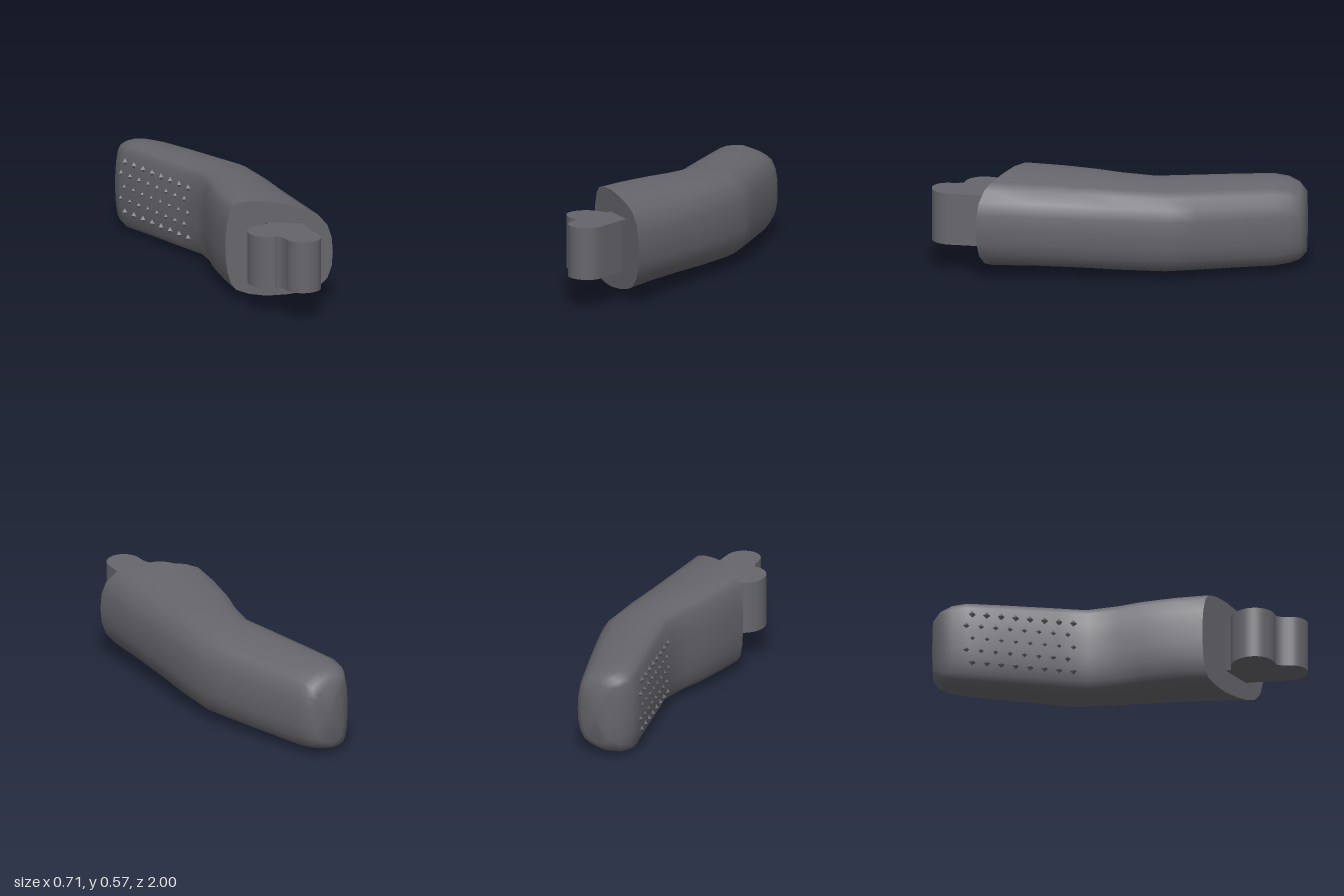
import * as THREE from 'three';

// Half outline of the body section, normalised: u across (0 = flat grip side), v up
const HALF = [
  [1, 0.5], [0.99, 0.65], [0.95, 0.78], [0.86, 0.885], [0.74, 0.935], [0.57, 0.975],
  [0.38, 1], [0.22, 0.99], [0.1, 0.955], [0.05, 0.89], [0.015, 0.76], [0, 0.6],
];
const RING = [...HALF, ...HALF.slice(1).reverse().map(([u, v]) => [u, 1 - v])];

// Sections from front to back: left x, left z, right x, right z, bottom, top
const SECTIONS = [
  [-0.165, 0.465, 0.355, 0.73, 0.03, 0.568],
  [-0.168, 0.3, 0.327, 0.45, 0.03, 0.56],
  [-0.155, 0.12, 0.303, 0.2, 0.026, 0.55],
  [-0.13, 0, 0.287, -0.02, 0.022, 0.542],
  [-0.12, -0.16, 0.25, -0.31, 0.016, 0.531],
  [-0.18, -0.32, 0.19, -0.45, 0.012, 0.523],
  [-0.278, -0.6, 0.09, -0.67, 0.006, 0.511],
  [-0.345, -0.79, 0.005, -0.85, 0, 0.5],
  [-0.35, -0.87, -0.03, -0.925, 0.012, 0.485],
  [-0.325, -0.935, -0.06, -0.975, 0.035, 0.46],
  [-0.27, -0.985, -0.1, -0.997, 0.08, 0.42],
];

function ringPoints([lx, lz, rx, rz, y0, y1]) {
  return RING.map(([u, v]) => [lx + (rx - lx) * u, y0 + (y1 - y0) * v, lz + (rz - lz) * u]);
}

function makeGeometry(points, index) {
  const g = new THREE.BufferGeometry();
  g.setAttribute('position', new THREE.Float32BufferAttribute(points.flat(), 3));
  g.setIndex(index);
  g.computeVertexNormals();
  return g;
}

// Smooth skin through all sections, with a rounded back end
function bodyGeometry() {
  const n = RING.length;
  const points = SECTIONS.flatMap(ringPoints);
  const index = [];
  for (let i = 0; i < SECTIONS.length - 1; i++) {
    for (let j = 0; j < n; j++) {
      const k = (j + 1) % n;
      const a = i * n + j, b = i * n + k, c = a + n, d = b + n;
      index.push(a, c, b, b, c, d);
    }
  }
  const base = (SECTIONS.length - 1) * n;
  const centre = points.length;
  points.push([-0.185, 0.25, -1]);
  for (let j = 0; j < n; j++) index.push(centre, base + (j + 1) % n, base + j);
  return makeGeometry(points, index);
}

// Slanted flat front end
function frontGeometry() {
  const points = ringPoints(SECTIONS[0]);
  const n = points.length;
  const index = [];
  points.push([0.095, 0.3, 0.5975]);
  for (let j = 0; j < n; j++) index.push(n, j, (j + 1) % n);
  return makeGeometry(points, index);
}

// Two-lobed connector, outlined in x and z and extruded downward
function connectorGeometry() {
  const s = new THREE.Shape();
  s.moveTo(0.03, 0.5);
  s.lineTo(0.205, 0.5);
  s.lineTo(0.21, 0.72);
  s.lineTo(0.225, 0.9);
  s.absarc(0.13, 0.905, 0.095, 0, Math.PI, false);
  s.quadraticCurveTo(0.025, 0.85, 0, 0.838);
  s.absarc(0, 0.72, 0.12, Math.PI / 2, Math.PI * 1.5, false);
  s.lineTo(0.03, 0.595);
  const g = new THREE.ExtrudeGeometry(s, { depth: 0.288, bevelEnabled: false, curveSegments: 20 });
  g.rotateX(Math.PI / 2);
  g.translate(0, 0.455, 0);
  // Slight rise toward the tip
  const p = g.attributes.position;
  for (let i = 0; i < p.count; i++) p.setY(i, p.getY(i) + (p.getZ(i) - 0.8) * 0.035);
  g.computeVertexNormals();
  return roundNormals(g);
}

// Smooth the upright walls, keep the flat ends sharp
function roundNormals(g) {
  const p = g.attributes.position, nor = g.attributes.normal;
  const sums = new Map();
  const key = (i) => [p.getX(i), p.getZ(i)].map((v) => v.toFixed(4)).join();
  for (let i = 0; i < p.count; i++) {
    if (Math.abs(nor.getY(i)) > 0.7) continue;
    const v = sums.get(key(i)) ?? new THREE.Vector3();
    sums.set(key(i), v.add(new THREE.Vector3(nor.getX(i), 0, nor.getZ(i))));
  }
  for (let i = 0; i < p.count; i++) {
    if (Math.abs(nor.getY(i)) > 0.7) continue;
    const v = sums.get(key(i)).clone().normalize();
    nor.setXYZ(i, v.x, v.y, v.z);
  }
  return g;
}

export function createModel() {
  const model = new THREE.Group();
  const grey = new THREE.MeshStandardMaterial({ color: 0x66656b });
  grey.name = 'darkGrey';

  const add = (name, geometry, parent = model) => {
    const mesh = new THREE.Mesh(geometry, grey);
    mesh.name = name;
    parent.add(mesh);
    return mesh;
  };

  add('body', bodyGeometry());
  add('frontFace', frontGeometry());
  add('connector', connectorGeometry());

  // Rows of small grip studs on the flat side of the rear half
  const studs = new THREE.Group();
  studs.name = 'gripStuds';
  model.add(studs);
  const studShape = new THREE.ConeGeometry(0.02, 0.016, 4).toNonIndexed();
  studShape.computeVertexNormals();
  studShape.rotateZ(Math.PI / 2);
  const start = new THREE.Vector3(-0.15, 0, -0.235);
  const end = new THREE.Vector3(-0.345, 0, -0.79);
  const angle = Math.atan2(end.x - start.x, end.z - start.z) + Math.PI;
  for (let row = 0; row < 5; row++) {
    for (let col = 0; col < 8; col++) {
      const stud = add('gripStud', studShape, studs);
      stud.position.lerpVectors(start, end, (col + (row % 2) * 0.4) / 7.4);
      stud.position.y = 0.12 + row * 0.071;
      stud.position.x -= 0.003;
      stud.rotation.y = angle;
    }
  }
  return model;
}
